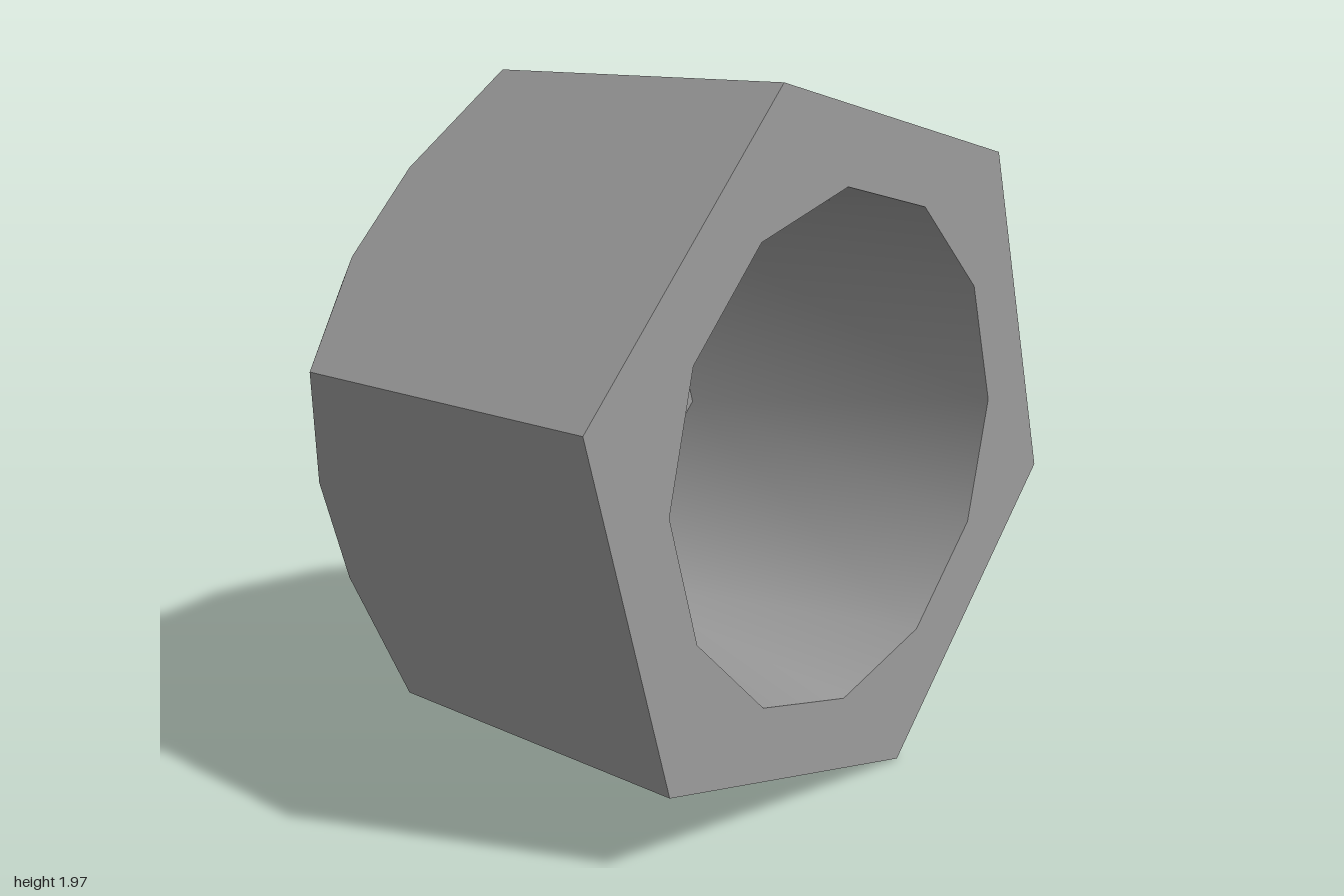
import * as THREE from 'three';
import { toCreasedNormals } from 'three/addons/utils/BufferGeometryUtils.js';

const CY = 0.984;      // height of the nut's axis, which runs along x
const TURN = 13.2;     // angle of the first hex corner, from +z towards +y
const HEX_R = 1.028;

const pt = (x, r, deg) => {
  const a = THREE.MathUtils.degToRad(deg);
  return new THREE.Vector3(x, CY + r * Math.sin(a), r * Math.cos(a));
};
const hexRing = (x, r) => Array.from({ length: 6 }, (_, k) => pt(x, r, TURN + 60 * k));
const roundRing = (x, r) => Array.from({ length: 12 }, (_, j) => pt(x, r, TURN - 15 + 30 * j));

// Flat convex polygon as a fan of points
const fan = (...p) => p.slice(2).flatMap((q, i) => [p[0], p[i + 1], q]);

// Wall between two equal rings, the second lying towards -x
const wall = (a, b) => a.flatMap((p, i) => {
  const n = (i + 1) % a.length;
  return fan(p, a[n], b[n], b[i]);
});

// Surface joining a six-point ring to a twelve-point ring
const hexToRound = (h, d) => h.flatMap((c, k) => [
  c, d[2 * k + 1], d[2 * k],
  ...fan(c, h[(k + 1) % 6], d[(2 * k + 2) % 12], d[2 * k + 1]),
]);

export function createModel() {
  const group = new THREE.Group();
  const material = new THREE.MeshStandardMaterial({ color: 0x9c9c9c });

  const add = (name, points, crease = 0.65) => {
    const geometry = new THREE.BufferGeometry().setFromPoints(points);
    const mesh = new THREE.Mesh(toCreasedNormals(geometry, crease), material);
    mesh.name = name;
    group.add(mesh);
    return mesh;
  };

  // Hex sides, with the chamfer cutting their closed end
  const open = hexRing(0.738, HEX_R);
  const corner = hexRing(-0.255, HEX_R);
  const shoulder = roundRing(-0.395, 0.885);
  const sides = [], chamfer = [];
  for (let k = 0; k < 6; k++) {
    const n = (k + 1) % 6;
    const p = corner[k].clone().lerp(corner[n], 0.35);
    const q = corner[k].clone().lerp(corner[n], 0.65);
    p.x = q.x = -0.375;
    const d0 = shoulder[2 * k], d1 = shoulder[2 * k + 1], d2 = shoulder[(2 * k + 2) % 12];
    sides.push(...fan(open[k], open[n], corner[n], q, p, corner[k]));
    chamfer.push(corner[k], d1, d0, corner[k], p, d1, ...fan(p, q, d2, d1), q, corner[n], d2);
  }
  add('hexSides', sides);
  add('chamfer', chamfer);

  // Flat shoulder around the cap
  const capBase = roundRing(-0.395, 0.643);
  add('shoulder', wall(shoulder, capBase));

  // Rounded cap: collar, dome and flat tip
  const capEdge = roundRing(-0.56, 0.643);
  const domeMid = roundRing(-0.66, 0.515);
  const domeEnd = roundRing(-0.74, 0.35);
  add('capCollar', wall(capBase, capEdge));
  add('capDome', [...wall(capEdge, domeMid), ...wall(domeMid, domeEnd)]);
  add('capTip', fan(...domeEnd));

  // Open end face, bore narrowing to a hex floor
  const rim = roundRing(0.738, 0.71);
  const floor = hexRing(-0.39, 0.698);
  add('openFace', hexToRound(open, rim).reverse());
  add('boreFloor', fan(...floor).reverse());
  const { position, normal } = add('bore', hexToRound(floor, rim)).geometry.attributes;

  // Shade the bore as a round cylinder, with normals towards the axis
  for (let i = 0; i < position.count; i++) {
    const n = new THREE.Vector3(0, CY - position.getY(i), -position.getZ(i)).normalize();
    normal.setXYZ(i, n.x, n.y, n.z);
  }

  return group;
}
